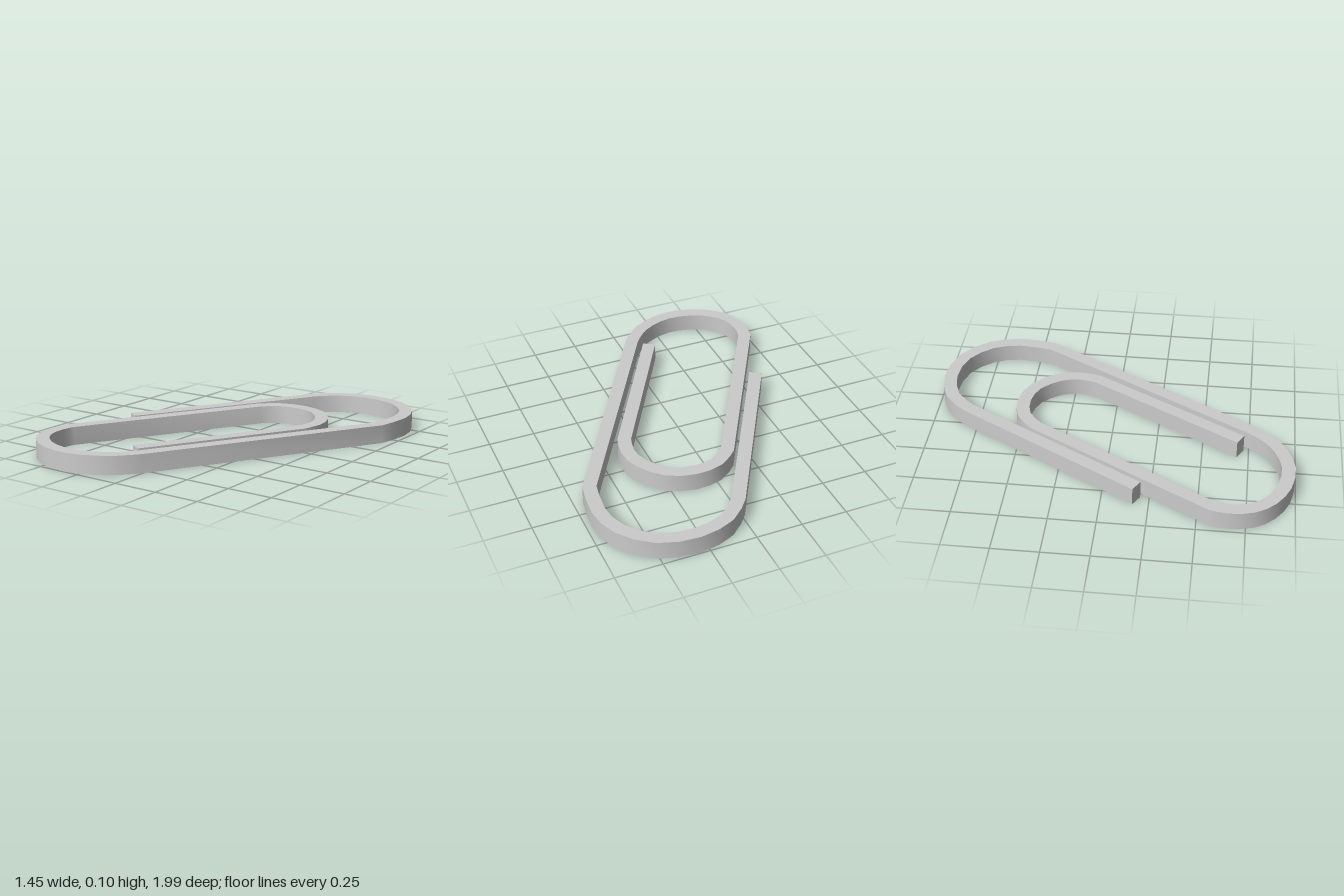
import * as THREE from 'three';
import { toCreasedNormals } from 'three/addons/utils/BufferGeometryUtils.js';

const HEIGHT = 0.1;
const HALF_WIDTH = 0.036;

// centre line of the wire, as [x, z], from the outer tip to the inner tip
const outerTip = [-0.56, 0.185];
const topBend = [[0.01, -0.8], [0.12, -0.91], [0.3, -0.96], [0.5, -0.92], [0.64, -0.785], [0.687, -0.615], [0.664, -0.42]];
const bottomBend = [[-0.03, 0.77], [-0.1, 0.855], [-0.195, 0.92], [-0.33, 0.96], [-0.485, 0.938], [-0.6, 0.872], [-0.67, 0.78], [-0.69, 0.665], [-0.674, 0.574]];
const innerBend = [[-0.108, -0.41], [-0.015, -0.485], [0.12, -0.505], [0.257, -0.458], [0.352, -0.342], [0.38, -0.225], [0.357, -0.114]];
const innerTip = [-0.114, 0.704];

// smooth a bend; points are in a plane with y = -z
function smoothBend(points) {
  const curve = new THREE.SplineCurve(points.map(([x, z]) => new THREE.Vector2(x, -z)));
  return curve.getPoints((points.length - 1) * 2);
}

// points pushed sideways from the centre line
function offsetLine(line, distance) {
  return line.map((p, i) => {
    const before = line[Math.max(i - 1, 0)];
    const after = line[Math.min(i + 1, line.length - 1)];
    const d1 = (i > 0 ? p.clone().sub(before) : after.clone().sub(p)).normalize();
    const d2 = (i < line.length - 1 ? after.clone().sub(p) : p.clone().sub(before)).normalize();
    const dir = d1.add(d2).normalize();
    return new THREE.Vector2(p.x - dir.y * distance, p.y + dir.x * distance);
  });
}

export function createModel() {
  const group = new THREE.Group();
  group.name = 'paperClip';

  const line = [
    new THREE.Vector2(outerTip[0], -outerTip[1]),
    ...smoothBend(topBend),
    ...smoothBend(bottomBend),
    ...smoothBend(innerBend),
    new THREE.Vector2(innerTip[0], -innerTip[1]),
  ];

  // closed ribbon outline, raised to the height of the wire
  const outline = new THREE.Shape([
    ...offsetLine(line, HALF_WIDTH),
    ...offsetLine(line, -HALF_WIDTH).reverse(),
  ]);
  const geometry = new THREE.ExtrudeGeometry(outline, { depth: HEIGHT, bevelEnabled: false });
  geometry.rotateX(-Math.PI / 2);

  const wire = new THREE.Mesh(
    toCreasedNormals(geometry, Math.PI / 4),
    new THREE.MeshStandardMaterial({ color: 0xcccccc })
  );
  wire.name = 'bentWire';
  group.add(wire);
  return group;
}
